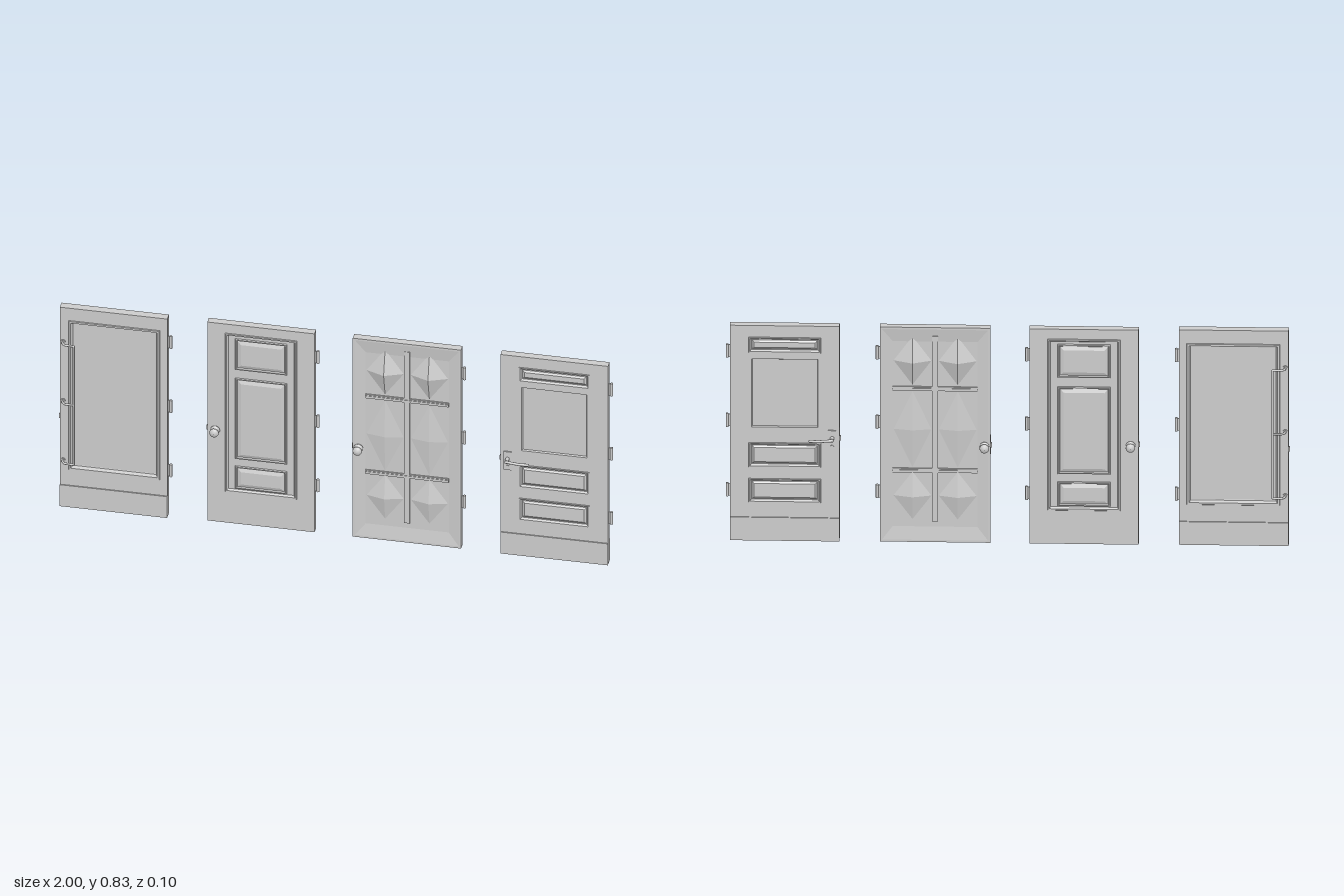
import * as THREE from 'three';

const grey = new THREE.MeshStandardMaterial({ color: 0xcccccc, side: THREE.DoubleSide });
const H = 0.835;

function add(parent, name, geometry, x = 0, y = 0, z = 0) {
  const mesh = new THREE.Mesh(geometry, grey);
  mesh.name = name;
  mesh.position.set(x, y, z);
  parent.add(mesh);
  return mesh;
}

const box = (parent, name, w, h, d, x, y, z = 0) => add(parent, name, new THREE.BoxGeometry(w, h, d), x, y, z);

// Nested rectangles [halfWidth, halfHeight, z], outside to inside, closed by a flat cap
function rectLoft(profile) {
  const pos = [];
  const corners = ([w, h, z]) => [[-w, -h, z], [w, -h, z], [w, h, z], [-w, h, z]];
  for (let k = 0; k < profile.length - 1; k++) {
    const o = corners(profile[k]), n = corners(profile[k + 1]);
    for (let i = 0; i < 4; i++) {
      const j = (i + 1) % 4;
      pos.push(...o[i], ...o[j], ...n[j], ...o[i], ...n[j], ...n[i]);
    }
  }
  const c = corners(profile[profile.length - 1]);
  pos.push(...c[0], ...c[1], ...c[2], ...c[0], ...c[2], ...c[3]);
  const g = new THREE.BufferGeometry();
  g.setAttribute('position', new THREE.Float32BufferAttribute(pos, 3));
  g.computeVertexNormals();
  return g;
}

// Same panel on the front and back of a door; steps are [inset, z]
function panel(door, name, [x0, x1, y0, y1], steps) {
  const w = (x1 - x0) / 2, h = (y1 - y0) / 2;
  const g = rectLoft(steps.map(([inset, z]) => [w - inset, h - inset, z]));
  for (const turn of [0, Math.PI]) {
    add(door, name, g, (x0 + x1) / 2, (y0 + y1) / 2).rotation.y = turn;
  }
}

// Slab with rectangular openings
function slab(door, w, t, holes, y0 = 0) {
  const rect = (P, a, b, c, d) => new P([[a, c], [b, c], [b, d], [a, d]].map(p => new THREE.Vector2(...p)));
  const shape = rect(THREE.Shape, -w / 2, w / 2, y0, H);
  shape.holes = holes.map(r => rect(THREE.Path, ...r));
  add(door, 'doorSlab', new THREE.ExtrudeGeometry(shape, { depth: 2 * t, bevelEnabled: false }), 0, 0, -t);
}

function knobs(door, x, y) {
  const pts = [[0, 0.013], [0.017, 0.013], [0.017, 0.018], [0.007, 0.02], [0.007, 0.026], [0.013, 0.028],
    [0.017, 0.034], [0.015, 0.041], [0.008, 0.046], [0, 0.047]].map(p => new THREE.Vector2(...p));
  for (const s of [1, -1]) add(door, 'knob', new THREE.LatheGeometry(pts, 24), x, y).rotation.x = s * Math.PI / 2;
}

const tube = (pts, r) => new THREE.TubeGeometry(
  new THREE.CatmullRomCurve3(pts.map(p => new THREE.Vector3(...p)), false, 'catmullrom', 0.3), 24, r, 10);

function makeDoor(name, x, z, w, latchY) {
  const door = new THREE.Group();
  door.name = name;
  door.position.set(x, 0, z);
  // Hinges on the left edge
  for (const y of [0.19, 0.46, 0.73]) {
    box(door, 'hingeLeaf', 0.012, 0.048, 0.004, w / 2 + 0.003, y);
    add(door, 'hingePin', new THREE.CylinderGeometry(0.005, 0.005, 0.052, 12), w / 2 + 0.01, y);
  }
  // Latch on the right edge
  box(door, 'latchPlate', 0.002, 0.075, 0.014, -w / 2, latchY);
  box(door, 'latchBolt', 0.008, 0.018, 0.008, -w / 2 - 0.001, latchY);
  return door;
}

function glazedDoor() {
  const t = 0.015, w = 0.388;
  const door = makeDoor('glazedDoor', -0.802, 0.005, w, 0.37);
  const r = [-0.163, 0.167, 0.155, 0.783];
  slab(door, w, t, [r]);
  panel(door, 'largePanel', r, [[0, t], [0.002, t + 0.003], [0.009, t + 0.003], [0.014, 0.005], [0.017, 0.004]]);
  box(door, 'kickPlate', w, 0.09, 0.038, 0, 0.045);
  // Long pull handles on three curved arms
  for (const s of [1, -1]) {
    const z = s * 0.041;
    for (const y of [0.195, 0.445, 0.693]) {
      add(door, 'handleArm', tube([[-0.182, y, s * t], [-0.181, y, s * 0.028], [-0.172, y, s * 0.039], [-0.138, y, z]], 0.004));
      add(door, 'armRose', new THREE.CylinderGeometry(0.008, 0.008, 0.004, 16), -0.182, y, s * (t + 0.002)).rotation.x = Math.PI / 2;
    }
    add(door, 'pullBar', new THREE.CapsuleGeometry(0.004, 0.498, 4, 10), -0.138, 0.444, z);
  }
  return door;
}

function threePanelDoor() {
  const t = 0.014, w = 0.387;
  const door = makeDoor('threePanelDoor', -0.272, -0.004, w, 0.385);
  const r = [-0.13, 0.13, 0.13, 0.797];
  slab(door, w, t, [r]);
  panel(door, 'panelSurround', r, [[0, t], [0.002, t + 0.003], [0.007, t + 0.003], [0.012, 0.009]]);
  for (const [y0, y1] of [[0.645, 0.775], [0.27, 0.61], [0.145, 0.24]]) {
    panel(door, 'raisedPanel', [-0.094, 0.094, y0, y1],
      [[0, 0.009], [0.002, 0.014], [0.006, 0.014], [0.009, 0.009], [0.022, 0.014]]);
  }
  knobs(door, -0.165, 0.385);
  return door;
}

function diamondDoor() {
  const t = 0.014, w = 0.391, base = 0.007;
  const door = makeDoor('diamondDoor', 0.255, -0.004, w, 0.375);
  // Sloping mitred border around a sunken field
  const hw = w / 2, hh = H / 2;
  const g = rectLoft([[hw, hh, 0], [hw, hh, t], [hw - 0.008, hh - 0.008, t], [0.15, 0.36, base]]);
  for (const turn of [0, Math.PI]) add(door, 'borderedSlab', g, 0, hh + (turn ? 0.0 : 0)).rotation.y = turn;
  // Dividing bars
  box(door, 'uprightBar', 0.02, 0.72, 0.024, 0, 0.44);
  for (const y of [0.595, 0.277]) {
    box(door, 'crossBar', 0.3, 0.016, 0.024, 0, y);
    box(door, 'crossBarRidge', 0.3, 0.006, 0.028, 0, y);
  }
  // Pointed diamonds in six fields: centre height, half height, peak
  for (const [y, h, peak] of [[0.703, 0.094, 0.034], [0.436, 0.148, 0.019], [0.178, 0.092, 0.025]]) {
    const flat = new THREE.ConeGeometry(1, 1, 4, 1, true).toNonIndexed();
    flat.translate(0, 0.5, 0);
    flat.rotateX(Math.PI / 2);
    flat.scale(0.067, h, peak - base);
    flat.computeVertexNormals();
    for (const x of [-0.08, 0.08]) {
      for (const s of [1, -1]) {
        add(door, 'diamond', flat, x, y, s * base).rotation.y = s > 0 ? 0 : Math.PI;
      }
    }
  }
  knobs(door, -0.175, 0.375);
  return door;
}

function leverDoor() {
  const t = 0.014, w = 0.388;
  const door = makeDoor('leverDoor', 0.787, -0.005, w, 0.395);
  const raised = [[0.73, 0.79], [0.285, 0.38], [0.147, 0.24]].map(([a, b]) => [-0.128, 0.128, a, b]);
  const window = [-0.118, 0.118, 0.44, 0.705];
  slab(door, w, t, [...raised, window]);
  for (const r of raised) {
    panel(door, 'raisedPanel', r,
      [[0, t], [0.001, t + 0.003], [0.005, t + 0.003], [0.01, 0.009], [0.013, 0.009], [0.02, t]]);
  }
  panel(door, 'windowPanel', window, [[0, t], [0.003, 0.008]]);
  box(door, 'kickPlate', w, 0.09, 0.036, 0, 0.045);
  // Lever handles on backplates
  for (const s of [1, -1]) {
    box(door, 'backplate', 0.028, 0.076, 0.005, -0.168, 0.393, s * (t + 0.002));
    add(door, 'leverNeck', new THREE.CylinderGeometry(0.007, 0.007, 0.026, 14), -0.168, 0.402, s * 0.028).rotation.x = Math.PI / 2;
    const lever = tube([[-0.172, 0.402, s * 0.041], [-0.15, 0.402, s * 0.044], [-0.12, 0.399, s * 0.043], [-0.09, 0.399, s * 0.041]], 0.005);
    add(door, 'lever', lever);
    add(door, 'leverTip', new THREE.SphereGeometry(0.005, 10, 8), -0.09, 0.399, s * 0.041);
    add(door, 'keyhole', new THREE.CylinderGeometry(0.006, 0.006, 0.004, 12), -0.168, 0.37, s * (t + 0.005)).rotation.x = Math.PI / 2;
  }
  return door;
}

export function createModel() {
  const group = new THREE.Group();
  group.name = 'doorSet';
  group.add(glazedDoor(), threePanelDoor(), diamondDoor(), leverDoor());
  return group;
}
